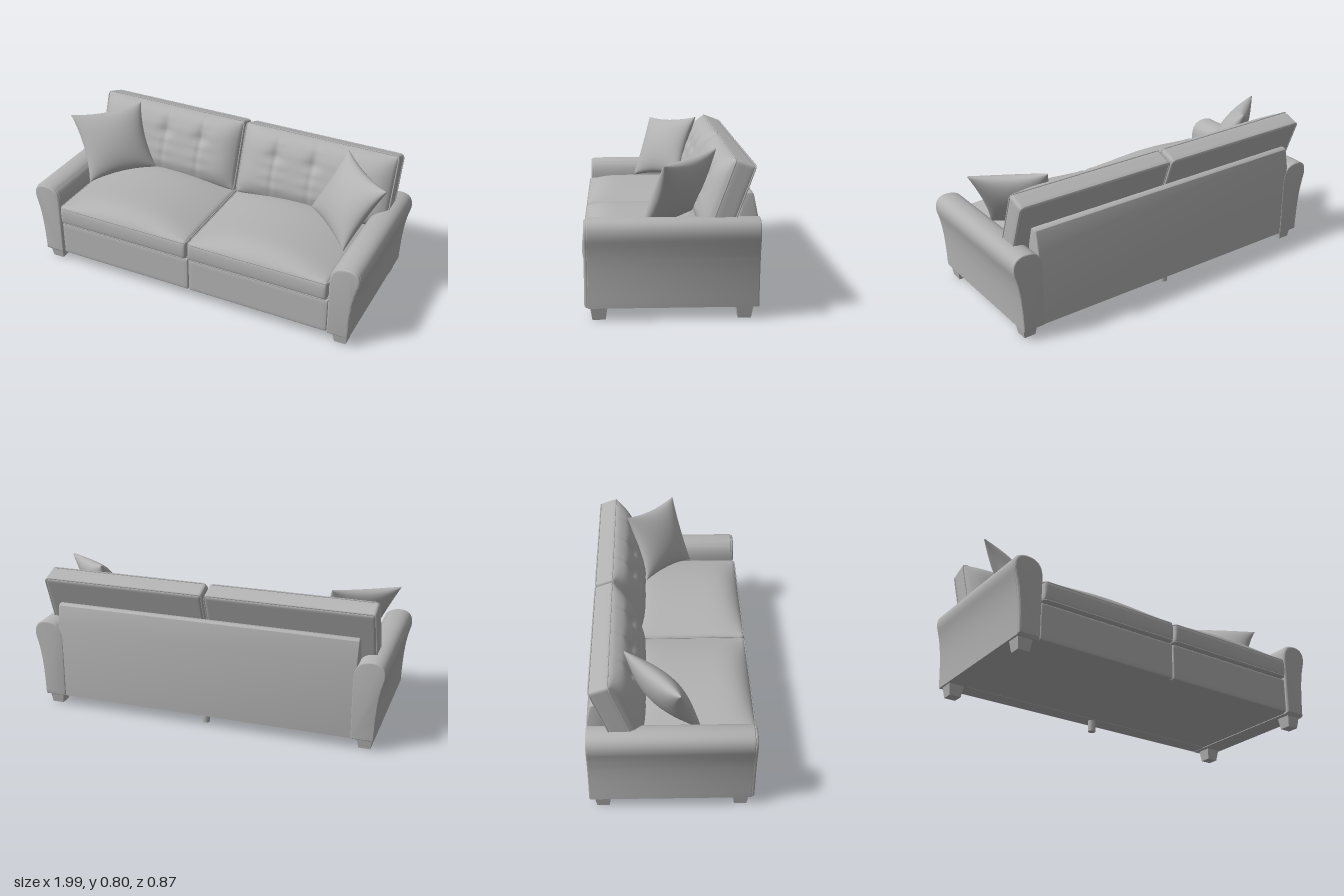
import * as THREE from 'three';
import { mergeVertices, toCreasedNormals } from 'three/addons/utils/BufferGeometryUtils.js';

const fabric = new THREE.MeshStandardMaterial({ color: 0xb2b2b2 });
fabric.name = 'grey fabric';

function add(parent, name, geometry, x = 0, y = 0, z = 0) {
  const mesh = new THREE.Mesh(geometry, fabric);
  mesh.name = name;
  mesh.position.set(x, y, z);
  parent.add(mesh);
  return mesh;
}

// Dense box whose vertices are moved by a rule, then smoothed
function mouldedBox(segments, rule) {
  let g = new THREE.BoxGeometry(2, 2, 2, ...segments);
  g.deleteAttribute('uv');
  g.deleteAttribute('normal');
  g = mergeVertices(g);
  const p = g.attributes.position;
  const v = new THREE.Vector3();
  for (let i = 0; i < p.count; i++) {
    rule(v.fromBufferAttribute(p, i));
    p.setXYZ(i, v.x, v.y, v.z);
  }
  g.computeVertexNormals();
  return g;
}

// Rounded cushion; puff(p, u, v, w) shifts points after rounding, u..w in -1..1
function cushion(w, h, d, r, segments, puff) {
  const half = new THREE.Vector3(w / 2, h / 2, d / 2);
  const inner = half.clone().subScalar(r);
  const core = new THREE.Vector3();
  const low = inner.clone().negate();
  return mouldedBox(segments, (p) => {
    p.set(...p.toArray().map((c) => Math.sin((c * Math.PI) / 2))).multiply(half);
    core.copy(p).clamp(low, inner);
    p.sub(core);
    if (p.lengthSq() > 0) p.setLength(r);
    p.add(core);
    if (puff) puff(p, p.x / half.x, p.y / half.y, p.z / half.z);
  });
}

// Closed piping cord around a rounded rectangle in the xy plane
function piping(w, h, r) {
  const pts = [];
  for (let q = 0; q < 4; q++) {
    const sx = q === 0 || q === 3 ? 1 : -1;
    const sy = q < 2 ? 1 : -1;
    for (let k = 0; k <= 3; k++) {
      const a = ((q + k / 3) * Math.PI) / 2;
      pts.push(new THREE.Vector3(sx * (w / 2 - r) + r * Math.cos(a), sy * (h / 2 - r) + r * Math.sin(a), 0));
    }
  }
  const path = new THREE.CurvePath();
  pts.forEach((p, i) => path.add(new THREE.LineCurve3(p, pts[(i + 1) % pts.length])));
  return new THREE.TubeGeometry(path, 160, 0.004, 6, true);
}

function extrude(shape, depth, bevel) {
  const g = new THREE.ExtrudeGeometry(shape, {
    depth: depth - 2 * bevel, bevelThickness: bevel, bevelSize: bevel, bevelOffset: -bevel,
    bevelSegments: 3, curveSegments: 12,
  });
  g.translate(0, 0, bevel);
  return toCreasedNormals(g, 0.7);
}

// Flared roll-top outline of an arm
function armShape(side) {
  const s = new THREE.Shape();
  s.moveTo(side * 0.83, 0.063);
  s.lineTo(side * 0.953, 0.063);
  s.bezierCurveTo(side * 0.957, 0.22, side * 0.965, 0.32, side * 0.99, 0.4);
  s.bezierCurveTo(side * 1.005, 0.45, side * 0.995, 0.507, side * 0.925, 0.508);
  s.bezierCurveTo(side * 0.855, 0.508, side * 0.828, 0.47, side * 0.828, 0.4);
  s.closePath();
  return s;
}

// Square throw pillow stretched between four corners
function pillow(ll, lr, ul, ur) {
  const normal = lr.clone().sub(ll).cross(ul.clone().sub(ll)).normalize();
  return mouldedBox([32, 32, 2], (p) => {
    const a = Math.sin((p.x * Math.PI) / 2);
    const b = Math.sin((p.y * Math.PI) / 2);
    const s = (a * (1 - 0.11 * (1 - b * b)) + 1) / 2;
    const t = (b * (1 - 0.11 * (1 - a * a)) + 1) / 2;
    const lift = p.z * (0.003 + 0.072 * Math.sqrt(Math.max(0, (1 - a * a) * (1 - b * b))));
    const top = ul.clone().lerp(ur, s);
    p.copy(ll).lerp(lr, s).lerp(top, t).addScaledVector(normal, lift);
  });
}

export function createModel() {
  const sofa = new THREE.Group();
  sofa.name = 'sofa';

  // Base and back frame
  add(sofa, 'base', new THREE.BoxGeometry(1.68, 0.2, 0.81), 0, 0.167, -0.015);
  const back = new THREE.Shape();
  [[0.43, 0.065], [0.434, 0.5], [0.412, 0.605], [0.4, 0.614], [0.38, 0.614], [0.368, 0.605], [0.34, 0.5], [0.33, 0.065]]
    .forEach(([x, y], i) => (i ? back.lineTo(x, y) : back.moveTo(x, y)));
  const backMesh = add(sofa, 'backFrame', extrude(back, 1.7, 0.006), -0.85, 0, 0);
  backMesh.rotation.y = Math.PI / 2;
  add(sofa, 'centreLeg', new THREE.CylinderGeometry(0.024, 0.022, 0.08, 16), 0, 0.04, -0.36);

  for (const side of [-1, 1]) {
    const half = new THREE.Group();
    half.name = side > 0 ? 'leftHalf' : 'rightHalf';
    sofa.add(half);

    // Arm with an applied front panel
    add(half, 'arm', extrude(armShape(side), 0.845, 0.006), 0, 0, -0.435);
    const panel = add(half, 'armFrontPanel', extrude(armShape(side), 0.03, 0.012), side * 0.018, 0.006, 0.394);
    panel.scale.set(0.98, 0.98, 1);

    // Front rail
    add(half, 'frontRail', cushion(0.828, 0.206, 0.06, 0.012, [16, 12, 8]), side * 0.415, 0.17, 0.385);

    // Seat cushion with a crowned top
    const seat = new THREE.Group();
    seat.name = 'seatCushion';
    seat.position.set(side * 0.414, 0.335, 0.095);
    half.add(seat);
    add(seat, 'seatPad', cushion(0.818, 0.115, 0.67, 0.018, [40, 12, 36], (p, u, v, w) => {
      if (v > 0) p.y += 0.07 * v * (1 - u * u) * (1 - w ** 6);
      if (w > 0.9) p.z += 0.006 * (1 - v * v);
    }));
    for (const y of [-0.05, 0.05]) {
      const cord = add(seat, 'seatPiping', piping(0.816, 0.668, 0.018), 0, y, 0);
      cord.rotation.x = Math.PI / 2;
    }

    // Leaning back cushion with tufted front
    const backCushion = new THREE.Group();
    backCushion.name = 'backCushion';
    backCushion.position.set(side * 0.467, 0.577, -0.292);
    backCushion.rotation.x = -0.35;
    half.add(backCushion);
    add(backCushion, 'backPad', cushion(0.92, 0.42, 0.112, 0.018, [110, 36, 10], (p, u, v, w) => {
      if (w < 0) return;
      const x = side * p.x + 0.467;
      let bulge = 0.074 * (1 - u ** 8) * (1 - v ** 4);
      for (const c of [0.24, 0.47, 0.69]) {
        const dx = x - c;
        const dy = p.y - 0.07;
        bulge -= (1 - v * v) * (0.008 * Math.exp(-((dx / 0.014) ** 2)) + 0.022 * Math.exp(-(dx * dx + dy * dy) / 0.002));
        bulge += 0.003 * (1 - v * v) * Math.exp(-((dx / 0.08) ** 2)) * Math.sin(dy * 90);
      }
      p.z += w * bulge;
    }));
    for (const z of [-0.05, 0.05]) add(backCushion, 'backPiping', piping(0.918, 0.418, 0.02), 0, 0, z);

    // Throw pillow resting in the corner
    const corner = (x, y, z) => new THREE.Vector3(side * x, y, z);
    const topOut = corner(0.975, 0.768, 0.035);
    const topIn = corner(0.66, 0.803, -0.24);
    const lowIn = corner(0.505, 0.455, -0.13);
    const lowOut = corner(0.8, 0.415, 0.145);
    add(half, 'throwPillow', side < 0
      ? pillow(lowOut, lowIn, topOut, topIn)
      : pillow(lowIn, lowOut, topIn, topOut));

    // Tapered feet
    for (const z of [0.353, -0.364]) {
      const foot = new THREE.CylinderGeometry(0.085 / Math.SQRT2, 0.065 / Math.SQRT2, 0.066, 4, 1).toNonIndexed();
      foot.rotateY(Math.PI / 4);
      foot.computeVertexNormals();
      add(half, 'foot', foot, side * 0.9, 0.033, z);
    }
  }
  return sofa;
}
